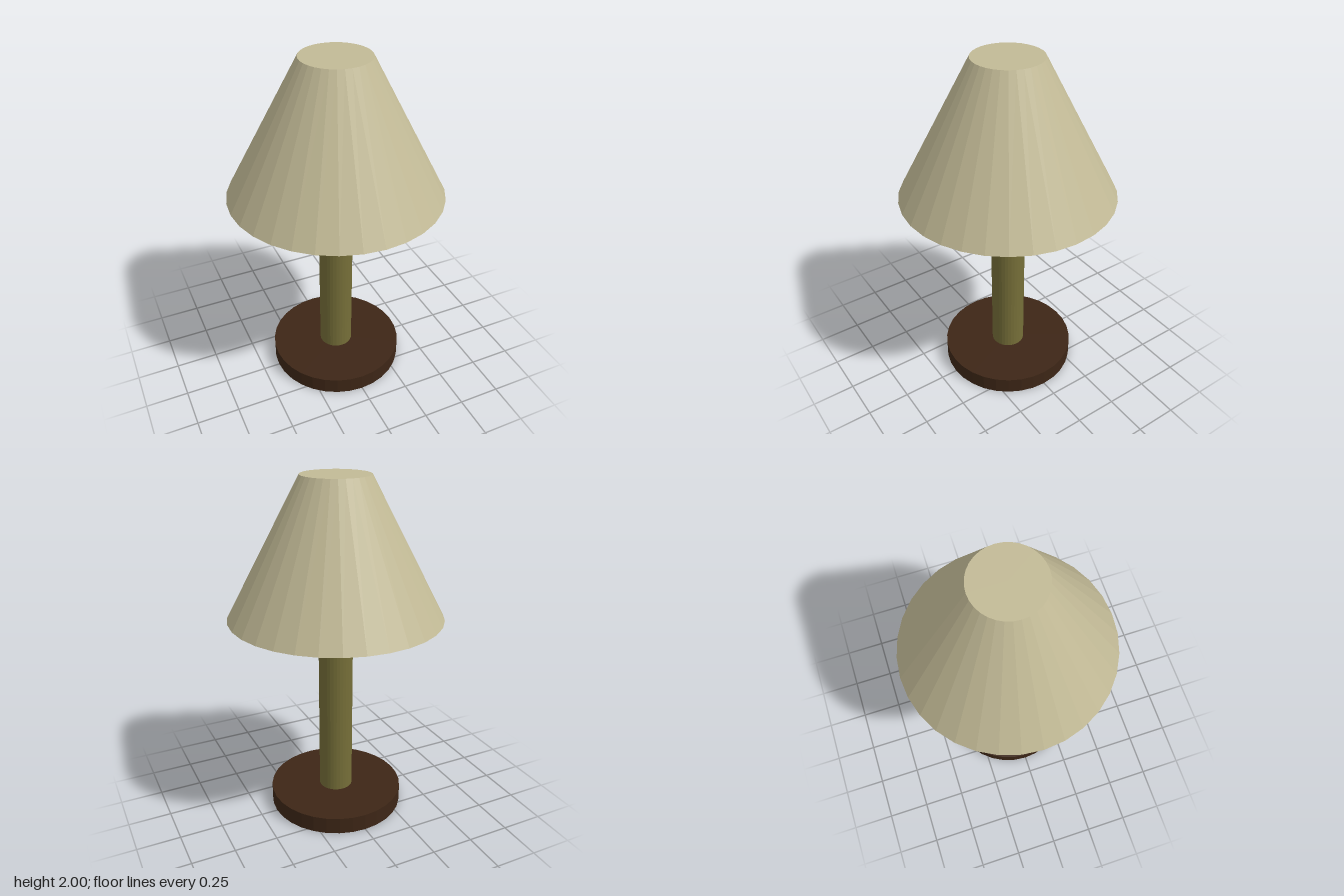
import * as THREE from 'three';

const SIDES = 32;

// Upright closed cylinder or cone section between two heights
function addRound(group, name, color, topRadius, bottomRadius, y0, y1) {
  const geometry = new THREE.CylinderGeometry(topRadius, bottomRadius, y1 - y0, SIDES);
  const material = new THREE.MeshStandardMaterial({ color, flatShading: true });
  const mesh = new THREE.Mesh(geometry, material);
  mesh.name = name;
  mesh.position.y = (y0 + y1) / 2;
  group.add(mesh);
}

export function createModel() {
  const lamp = new THREE.Group();
  lamp.name = 'tableLamp';

  // Dark wooden foot, olive column, closed cream shade
  addRound(lamp, 'base', 0x3d2616, 0.4, 0.4, 0, 0.1);
  addRound(lamp, 'stem', 0x756e38, 0.1, 0.1, 0.1, 1.207);
  addRound(lamp, 'shade', 0xc2ba96, 0.196, 0.617, 1.207, 2);

  return lamp;
}
